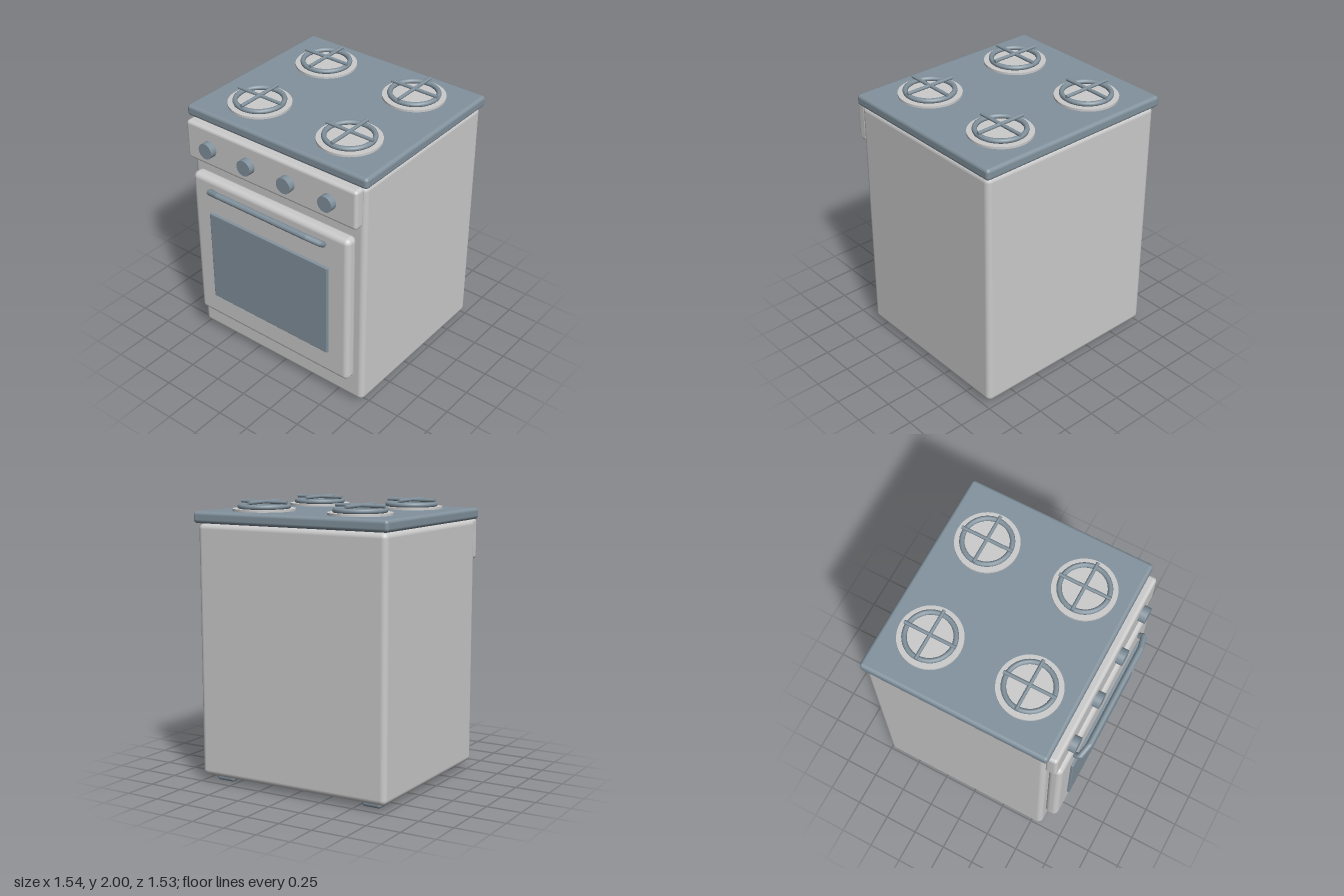
import * as THREE from 'three';
import { RoundedBoxGeometry } from 'three/addons/geometries/RoundedBoxGeometry.js';

const light = new THREE.MeshStandardMaterial({ color: 0xcccccc });
const dark = new THREE.MeshStandardMaterial({ color: 0x82929d });

export function createModel() {
  const stove = new THREE.Group();
  stove.name = 'stove';

  const add = (name, geometry, material, x = 0, y = 0, z = 0, parent = stove) => {
    const mesh = new THREE.Mesh(geometry, material);
    mesh.name = name;
    mesh.position.set(x, y, z);
    parent.add(mesh);
    return mesh;
  };

  // Rounded box given by half width and its y and z ranges
  const slab = (name, material, halfX, y0, y1, z0, z1, radius) =>
    add(name, new RoundedBoxGeometry(2 * halfX, y1 - y0, z1 - z0, 3, radius), material,
      0, (y0 + y1) / 2, (z0 + z1) / 2);

  // Cabinet, cooktop, control panel and oven door
  slab('body', light, 0.747, 0.045, 1.845, -0.745, 0.583, 0.04);
  slab('cooktop', dark, 0.768, 1.845, 1.927, -0.768, 0.603, 0.025);
  slab('controlPanel', light, 0.73, 1.55, 1.845, 0.57, 0.657, 0.025);
  slab('ovenDoor', light, 0.685, 0.262, 1.457, 0.575, 0.677, 0.04);
  slab('ovenWindow', dark, 0.523, 0.455, 1.182, 0.66, 0.696, 0.006);

  // Control knobs
  for (let i = 0; i < 4; i++) {
    const knob = add('knob', new THREE.CylinderGeometry(0.058, 0.058, 0.06, 32), dark,
      -0.515 + i * 0.3425, 1.695, 0.677);
    knob.rotation.x = Math.PI / 2;
  }

  // Door handle: straight bar with ends bent down towards the door
  const v = (x, y, z) => new THREE.Vector3(x, y, z);
  const path = new THREE.CurvePath();
  const points = [
    v(-0.49, 1.368, 0.692), v(-0.49, 1.388, 0.719), v(-0.39, 1.407, 0.742),
    v(0.39, 1.407, 0.742), v(0.49, 1.388, 0.719), v(0.49, 1.368, 0.692),
  ];
  for (let i = 1; i < points.length; i++) path.add(new THREE.LineCurve3(points[i - 1], points[i]));
  add('handle', new THREE.TubeGeometry(path, 120, 0.022, 12), dark);
  for (const p of [points[0], points[5]]) {
    add('handleEnd', new THREE.SphereGeometry(0.022, 12, 8), dark, p.x, p.y, p.z);
  }

  // Four burners: plate, ring and a crossed pan support
  for (const x of [-0.385, 0.385]) {
    for (const z of [-0.449, 0.279]) {
      const burner = new THREE.Group();
      burner.name = 'burner';
      burner.position.set(x, 0, z);
      stove.add(burner);
      add('burnerPlate', new THREE.CylinderGeometry(0.222, 0.222, 0.022, 40), light, 0, 1.932, 0, burner);
      const ring = add('burnerRing', new THREE.TorusGeometry(0.169, 0.018, 10, 40), dark, 0, 1.957, 0, burner);
      ring.rotation.x = Math.PI / 2;
      const barGeometry = new THREE.CylinderGeometry(0.0125, 0.0125, 0.38, 10);
      add('crossBar', barGeometry, dark, 0, 1.9875, 0, burner).rotation.z = Math.PI / 2;
      add('crossBar', barGeometry, dark, 0, 1.9875, 0, burner).rotation.x = Math.PI / 2;
    }
  }

  // Feet
  for (const x of [-0.598, 0.598]) {
    for (const z of [-0.599, 0.43]) {
      add('foot', new RoundedBoxGeometry(0.148, 0.07, 0.148, 3, 0.022), dark, x, 0.035, z);
    }
  }

  return stove;
}
